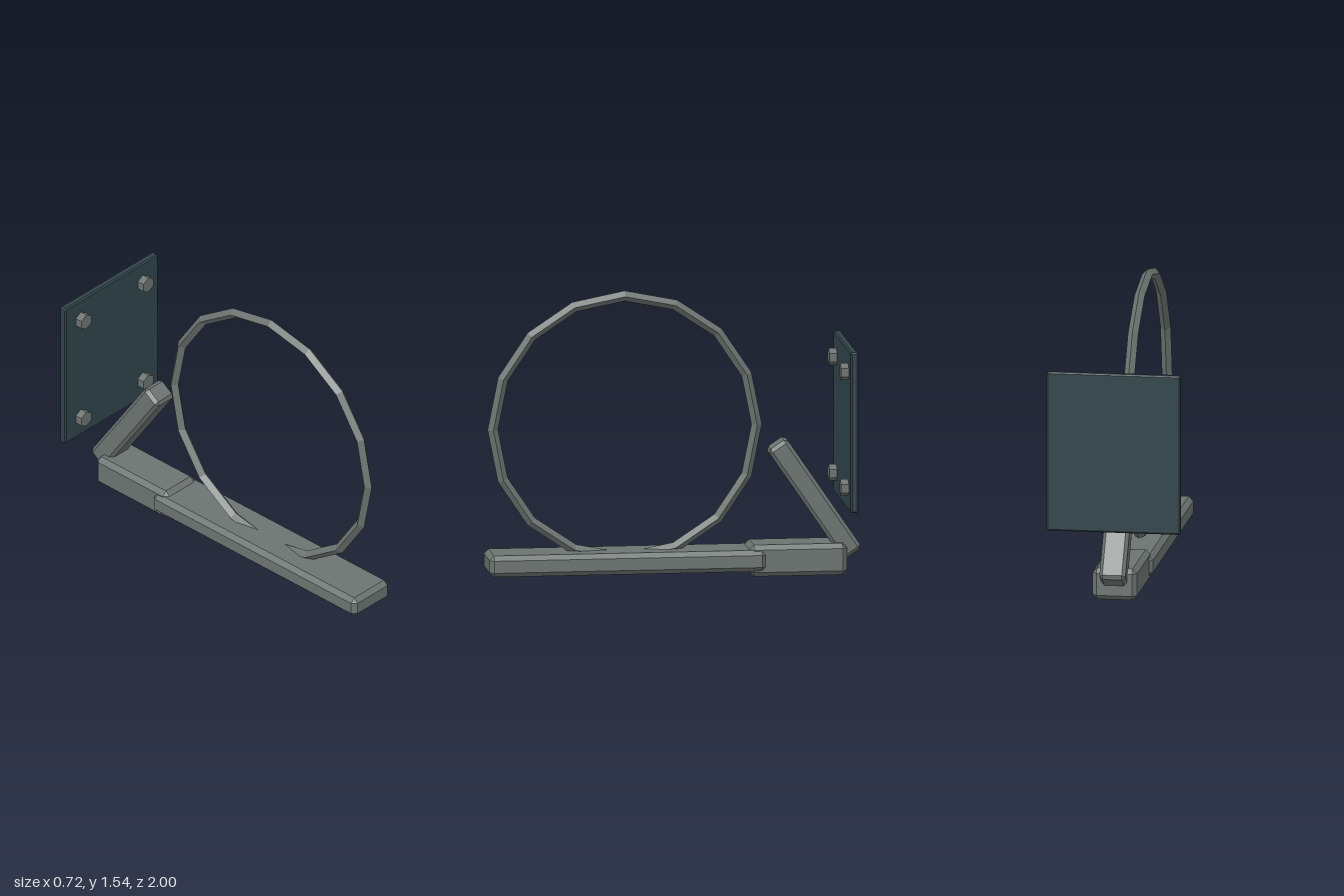
import * as THREE from 'three';
import { ConvexGeometry } from 'three/addons/geometries/ConvexGeometry.js';

const metal = new THREE.MeshStandardMaterial({ color: 0x6c7471, flatShading: true });
const panel = new THREE.MeshStandardMaterial({ color: 0x30444a, flatShading: true });

// Box with all twelve edges chamfered by c
function chamferBox(w, h, d, c) {
  const half = [w / 2, h / 2, d / 2];
  const points = [];
  for (const sx of [-1, 1]) for (const sy of [-1, 1]) for (const sz of [-1, 1]) {
    for (let full = 0; full < 3; full++) {
      const p = half.map((v, i) => (i === full ? v : v - c));
      points.push(new THREE.Vector3(sx * p[0], sy * p[1], sz * p[2]));
    }
  }
  return new ConvexGeometry(points);
}

export function createModel() {
  const group = new THREE.Group();
  const add = (name, geometry, material, x, y, z) => {
    const mesh = new THREE.Mesh(geometry, material);
    mesh.name = name;
    mesh.position.set(x, y, z);
    group.add(mesh);
    return mesh;
  };

  // Long rail and the thicker block at its rear end
  add('rail', chamferBox(0.28, 0.115, 1.485, 0.025), metal, 0, 0.0875, 0.2575);
  add('rearBlock', chamferBox(0.24, 0.17, 0.525, 0.025), metal, 0, 0.085, -0.657);

  // Faceted hoop with a diamond section, sunk into the rail
  const hoop = add('hoop', new THREE.TorusGeometry(0.707, 0.028, 4, 16), metal, 0, 0.805, 0.26);
  hoop.rotation.y = Math.PI / 2;

  // Slanted arm rising from the rear block
  const arm = add('slantedArm', chamferBox(0.14, 0.72, 0.12, 0.018), metal, 0, 0.403, -0.753);
  arm.rotation.x = 0.598;

  // Upright panel with four hexagonal bolt heads
  add('panel', chamferBox(0.72, 0.865, 0.042, 0.008), panel, 0, 0.807, -0.926);
  const boltGeometry = new THREE.CylinderGeometry(0.045, 0.045, 0.06, 6).rotateX(Math.PI / 2);
  for (const x of [-0.24, 0.24]) for (const y of [0.495, 1.12]) {
    add('bolt', boltGeometry, metal, x, y, -0.894);
  }
  return group;
}
